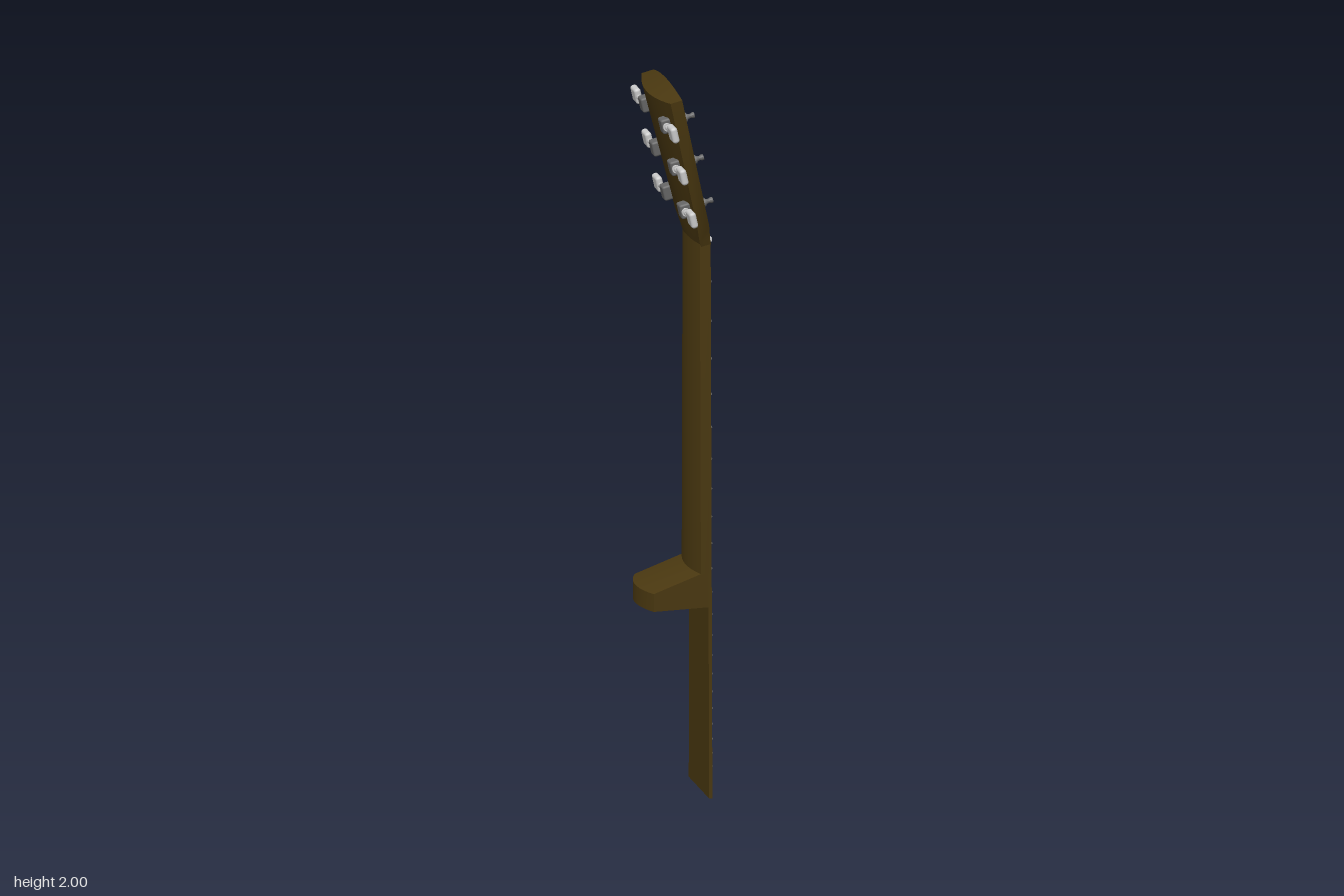
import * as THREE from 'three';
import { toCreasedNormals } from 'three/addons/utils/BufferGeometryUtils.js';
import { RoundedBoxGeometry } from 'three/addons/geometries/RoundedBoxGeometry.js';

const mat = (color) => new THREE.MeshStandardMaterial({ color });
const wood = mat(0x4a3810), board = mat(0x555555), dark = mat(0x666666), light = mat(0xcccccc);
const TOP = 1.56; // height of the nut
const TILT = 0.2213; // backward lean of the headstock
const N = 13; // points across each cross-section

function add(parent, name, geometry, material, x = 0, y = 0, z = 0) {
  const mesh = new THREE.Mesh(geometry, material);
  mesh.name = name;
  mesh.position.set(x, y, z);
  parent.add(mesh);
  return mesh;
}

// Skin through sections [y, halfWidth, front, edge, back]: flat front, arched back.
function loft(sections, rule = () => 0) {
  const pos = [], idx = [], ring = 2 * N;
  sections.forEach(([y, w, front, edge, back], k) => {
    for (let i = 0; i < ring; i++) {
      const t = i < N ? -1 + (2 * i) / (N - 1) : 1 - (2 * (i - N)) / (N - 1);
      const x = i < N ? front : edge + (back - edge) * (1 - t * t);
      pos.push(x, y + (k === sections.length - 1 ? rule(x, t) : 0), t * w);
    }
  });
  for (let k = 0; k < sections.length - 1; k++) {
    for (let i = 0; i < ring; i++) {
      const a = k * ring + i, b = k * ring + ((i + 1) % ring);
      idx.push(a, a + ring, b, b, a + ring, b + ring);
    }
  }
  const top = (sections.length - 1) * ring;
  for (let i = 0; i < N - 1; i++) {
    const p = ring - 1 - i, q = p - 1, j = i + 1;
    idx.push(top + i, top + p, top + j, top + j, top + p, top + q);
    idx.push(i, j, p, j, q, p);
  }
  const g = new THREE.BufferGeometry();
  g.setAttribute('position', new THREE.Float32BufferAttribute(pos, 3));
  g.setIndex(idx);
  return toCreasedNormals(g, 0.45);
}

// Flat plate given by its (z, y) outline, lying between x0 and x1.
function plate(points, x0, x1) {
  const shape = new THREE.Shape(points.map(([z, y]) => new THREE.Vector2(-z, y)));
  const g = new THREE.ExtrudeGeometry(shape, { depth: x1 - x0, bevelEnabled: false });
  return g.rotateY(Math.PI / 2).translate(x0, 0, 0);
}

const boardHalf = (y) => 0.082 - 0.0077 * y;
const neckHalf = (y) => 0.1 - 0.0109 * y;

function addTuner(head, u, side, postZ, knobZ) {
  const tuner = new THREE.Group();
  tuner.name = 'tuner';
  tuner.position.y = u;
  head.add(tuner);
  const z = side * postZ;
  const round = (r, h) => new THREE.CylinderGeometry(r, r, h, 16);

  // string post with its washer and collar
  add(tuner, 'washer', round(0.018, 0.006).rotateZ(Math.PI / 2), light, 0.002, 0, z);
  add(tuner, 'collar', round(0.012, 0.012).rotateZ(Math.PI / 2), dark, 0.006, 0, z);
  const post = [[0, 0], [0.008, 0], [0.008, 0.014], [0.006, 0.019], [0.006, 0.023], [0.008, 0.027], [0.008, 0.033], [0, 0.034]]
    .map(([r, h]) => new THREE.Vector2(r, h));
  add(tuner, 'stringPost', toCreasedNormals(new THREE.LatheGeometry(post, 16).rotateZ(-Math.PI / 2), 0.6), dark, 0, 0, z);

  // gear housing on the back, shaft and knob at the side
  add(tuner, 'gearHousing', new RoundedBoxGeometry(0.034, 0.042, 0.036, 2, 0.006), dark, -0.048, 0, side * (knobZ - 0.081));
  add(tuner, 'shaft', round(0.007, 0.07).rotateX(Math.PI / 2), light, -0.052, 0, side * (knobZ - 0.047));
  add(tuner, 'shaftCollar', round(0.011, 0.008).rotateX(Math.PI / 2), light, -0.052, 0, side * (knobZ - 0.06));
  add(tuner, 'knob', new RoundedBoxGeometry(0.019, 0.045, 0.047, 3, 0.008), light, -0.052, 0, side * knobZ);
}

export function createModel() {
  const model = new THREE.Group();
  model.name = 'guitarNeck';

  // neck shaft flowing down into the heel
  add(model, 'neckAndHeel', loft([
    [0.535, 0.093, 0.08, -0.075, -0.1],
    [0.585, 0.093, 0.08, -0.075, -0.1],
    [0.63, neckHalf(0.63), 0.08, 0.056, 0.04],
    [TOP, neckHalf(TOP), 0.08, 0.056, 0.04],
  ]), wood);

  // thin backing plate and the playing surface
  const w0 = neckHalf(0), w1 = neckHalf(TOP);
  add(model, 'fretboardBase', plate([[-w0, 0], [w0, 0], [w1, TOP], [-w1, TOP]], 0.077, 0.086), wood);
  const b0 = boardHalf(0), b1 = boardHalf(TOP);
  add(model, 'fretboard', plate(
    [[-b0, 0.02], [-0.06, 0.027], [0, 0.05], [0.06, 0.027], [b0, 0.02], [b1, TOP], [-b1, TOP]], 0.08, 0.0885), board);
  add(model, 'nut', new THREE.BoxGeometry(0.014, 0.01, 2 * b1 + 0.006), light, 0.085, TOP);

  // frets, each spacing shrinking by a constant ratio
  for (let n = 1; n <= 21; n++) {
    const y = TOP - 2.1 * (1 - Math.pow(2, -n / 12));
    const fret = new THREE.CylinderGeometry(0.0035, 0.0035, 2 * boardHalf(y), 8).rotateX(Math.PI / 2);
    add(model, 'fret', fret, dark, 0.0895, y);
  }

  // position dots
  [[0.975, 0], [0.78, 0.024], [0.62, 0], [0.48, 0.024], [0.31, 0]].forEach(([y, dz]) => {
    for (const z of dz ? [-dz, dz] : [0]) {
      add(model, 'inlayDot', new THREE.CylinderGeometry(0.008, 0.008, 0.003, 16).rotateZ(Math.PI / 2), light, 0.088, y, z);
    }
  });

  // headstock with an arched, back-chamfered end
  const head = new THREE.Group();
  head.name = 'headstock';
  head.position.set(0.085, TOP, 0);
  head.rotation.z = TILT;
  model.add(head);
  add(head, 'headstockBody', loft([
    [-0.01, 0.083, 0, -0.028, -0.043],
    [0.004, 0.085, 0, -0.03, -0.044],
    [0.055, 0.114, 0, -0.033, -0.046],
    [0.431, 0.141, 0, -0.033, -0.06],
  ], (x, t) => 0.02 * (1 - t * t) - 0.75 * Math.max(0, -x - 0.033)), wood);

  // three tuners on either side
  for (const side of [-1, 1]) {
    [[0.108, 0.075, 0.165], [0.236, 0.083, 0.17], [0.362, 0.09, 0.179]].forEach(([u, postZ, knobZ]) =>
      addTuner(head, u, side, postZ, knobZ));
  }
  return model;
}
